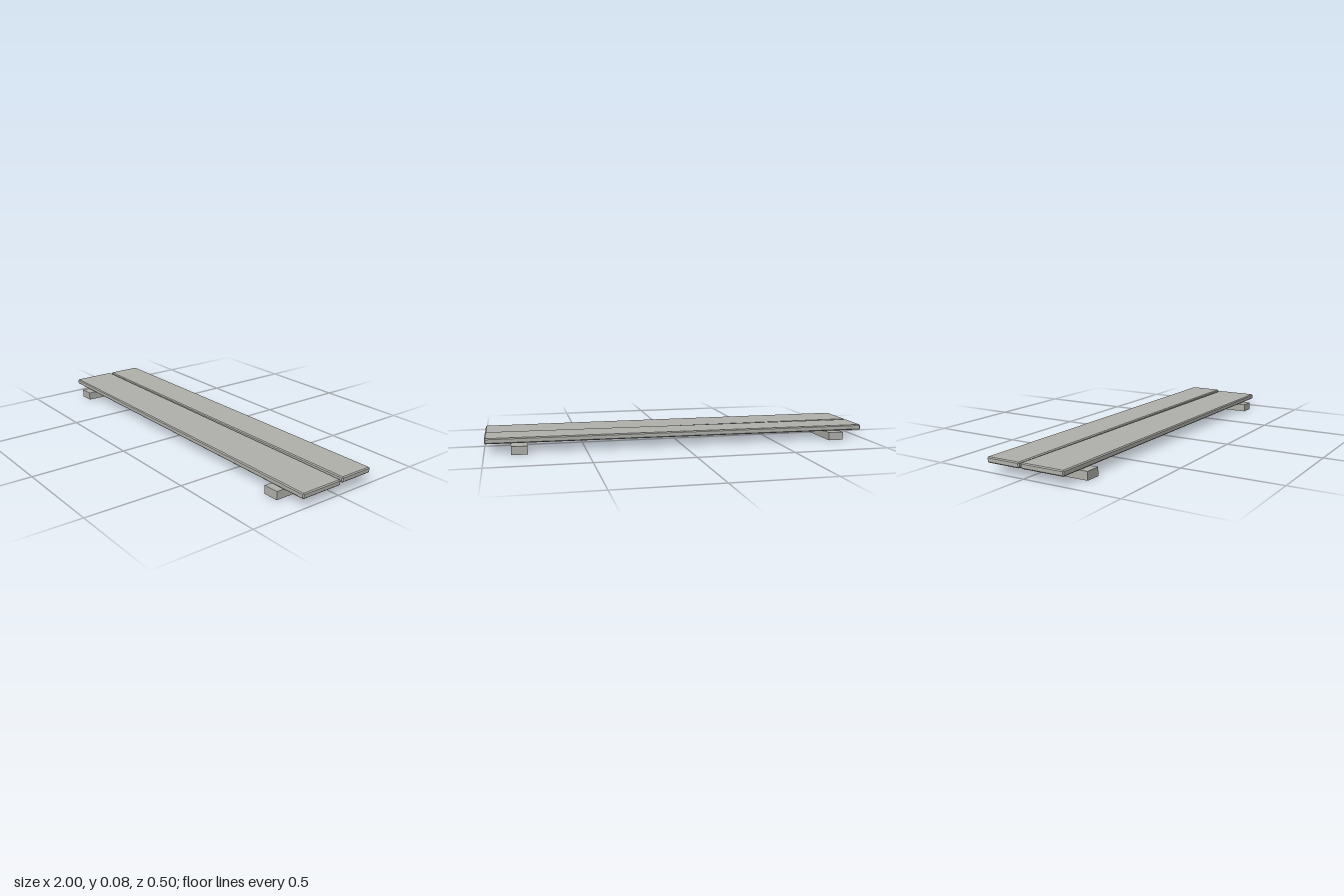
import * as THREE from 'three';
import { ConvexGeometry } from 'three/addons/geometries/ConvexGeometry.js';

// Box with every edge cut by a small flat bevel
function bevelledBox(w, h, d, b) {
  const points = [];
  for (const sx of [-1, 1]) for (const sy of [-1, 1]) for (const sz of [-1, 1]) {
    const x = w / 2, y = h / 2, z = d / 2;
    points.push(
      new THREE.Vector3(sx * x, sy * (y - b), sz * (z - b)),
      new THREE.Vector3(sx * (x - b), sy * y, sz * (z - b)),
      new THREE.Vector3(sx * (x - b), sy * (y - b), sz * z),
    );
  }
  return new ConvexGeometry(points);
}

export function createModel() {
  const model = new THREE.Group();
  model.name = 'plankPlatform';
  const wood = new THREE.MeshStandardMaterial({ color: 0xb0b1ab });
  wood.name = 'weatheredWood';

  const add = (name, geometry, x, y, z) => {
    const mesh = new THREE.Mesh(geometry, wood);
    mesh.name = name;
    mesh.position.set(x, y, z);
    model.add(mesh);
    return mesh;
  };

  // Two cross bearers resting on the ground
  const bearer = new THREE.BoxGeometry(0.08, 0.042, 0.5);
  add('rightBearer', bearer, -0.835, 0.021, 0);
  add('leftBearer', bearer, 0.83, 0.021, 0);

  // Wide front plank lies level; the narrower back one rises slightly to the left
  add('frontPlank', bevelledBox(1.995, 0.028, 0.232, 0.005), -0.001, 0.057, 0.1);
  const back = add('backPlank', bevelledBox(1.995, 0.028, 0.183, 0.005), -0.001, 0.0605, -0.117);
  back.rotation.z = 0.004;

  return model;
}
